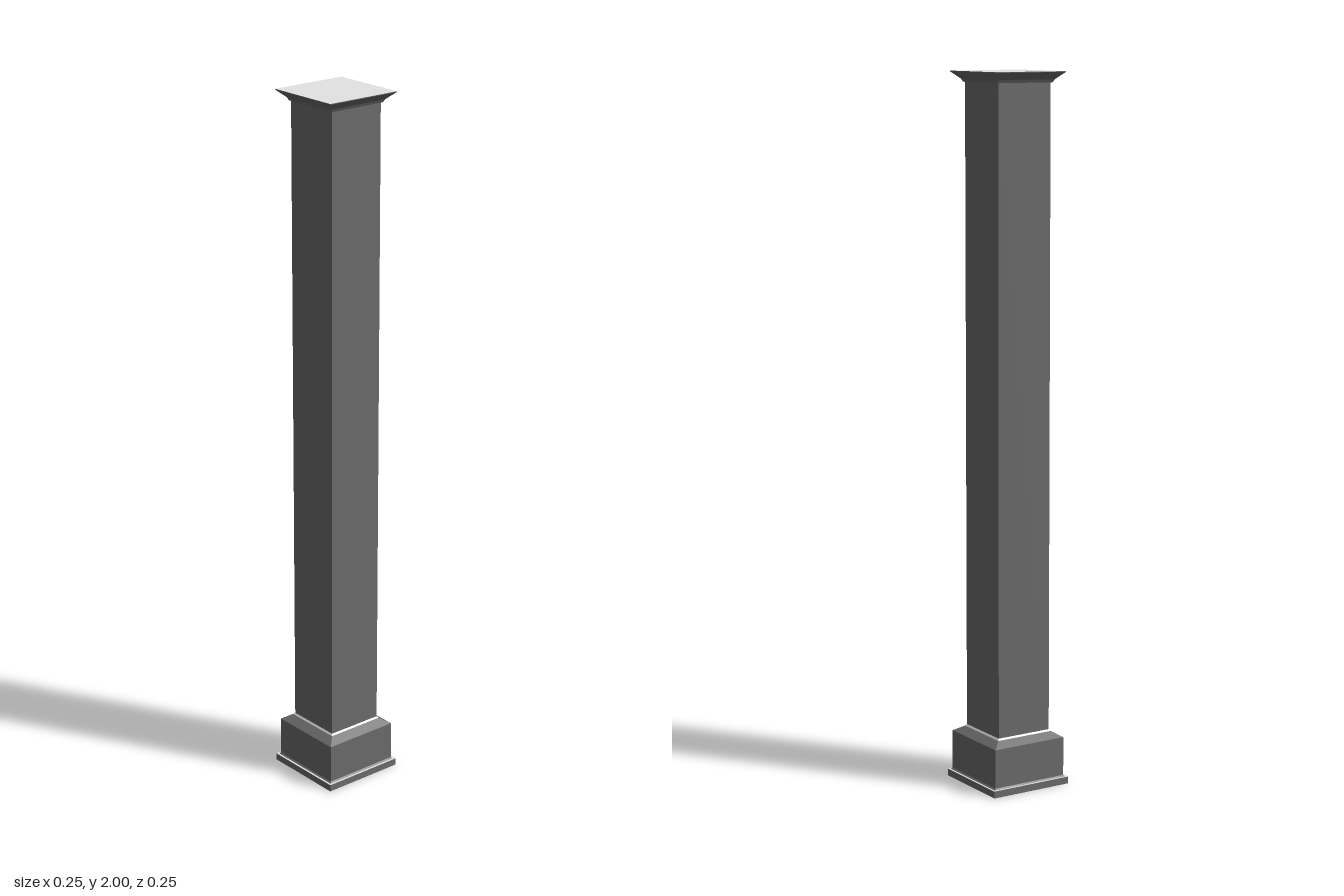
import * as THREE from 'three';

const darkGrey = new THREE.MeshStandardMaterial({ color: 0x6d6d6d });
darkGrey.name = 'dark grey';
const lightGrey = new THREE.MeshStandardMaterial({ color: 0xe4e4e4 });
lightGrey.name = 'light grey';

// Square turned part: profile of [half width, height], from bottom to top
function squareProfile(name, material, profile) {
  const points = profile.map(([h, y]) => new THREE.Vector2(h * Math.SQRT2, y));
  const geometry = new THREE.LatheGeometry(points, 4).rotateY(Math.PI / 4).toNonIndexed();
  geometry.computeVertexNormals();
  const mesh = new THREE.Mesh(geometry, material);
  mesh.name = name;
  return mesh;
}

// Square end face, turned up or down
function endFace(name, halfWidth, y, tilt) {
  const size = halfWidth * 2;
  const mesh = new THREE.Mesh(new THREE.PlaneGeometry(size, size).rotateX(tilt), lightGrey);
  mesh.name = name;
  mesh.position.y = y;
  return mesh;
}

export function createModel() {
  const column = new THREE.Group();
  column.name = 'squareColumn';

  // Plinth with a pale ledge and a pale underside
  column.add(endFace('underside', 0.124, 0, Math.PI / 2));
  column.add(squareProfile('plinth', darkGrey, [[0.124, 0], [0.124, 0.02]]));
  column.add(squareProfile('plinthLedge', lightGrey, [[0.124, 0.02], [0.118, 0.02]]));

  // Base block with a sloped shoulder
  column.add(squareProfile('base', darkGrey, [
    [0.118, 0.02], [0.114, 0.024], [0.114, 0.135], [0.088, 0.151],
  ]));

  // Thin pale fillet where the base meets the shaft
  column.add(squareProfile('baseFillet', lightGrey, [[0.088, 0.151], [0.084, 0.156]]));

  column.add(squareProfile('shaft', darkGrey, [[0.084, 0.156], [0.084, 1.97]]));

  // Flared capital above a narrow band
  column.add(squareProfile('capital', darkGrey, [
    [0.084, 1.97], [0.088, 1.97], [0.092, 1.978], [0.114, 1.998], [0.114, 2],
  ]));
  column.add(endFace('topFace', 0.114, 2, -Math.PI / 2));

  return column;
}
